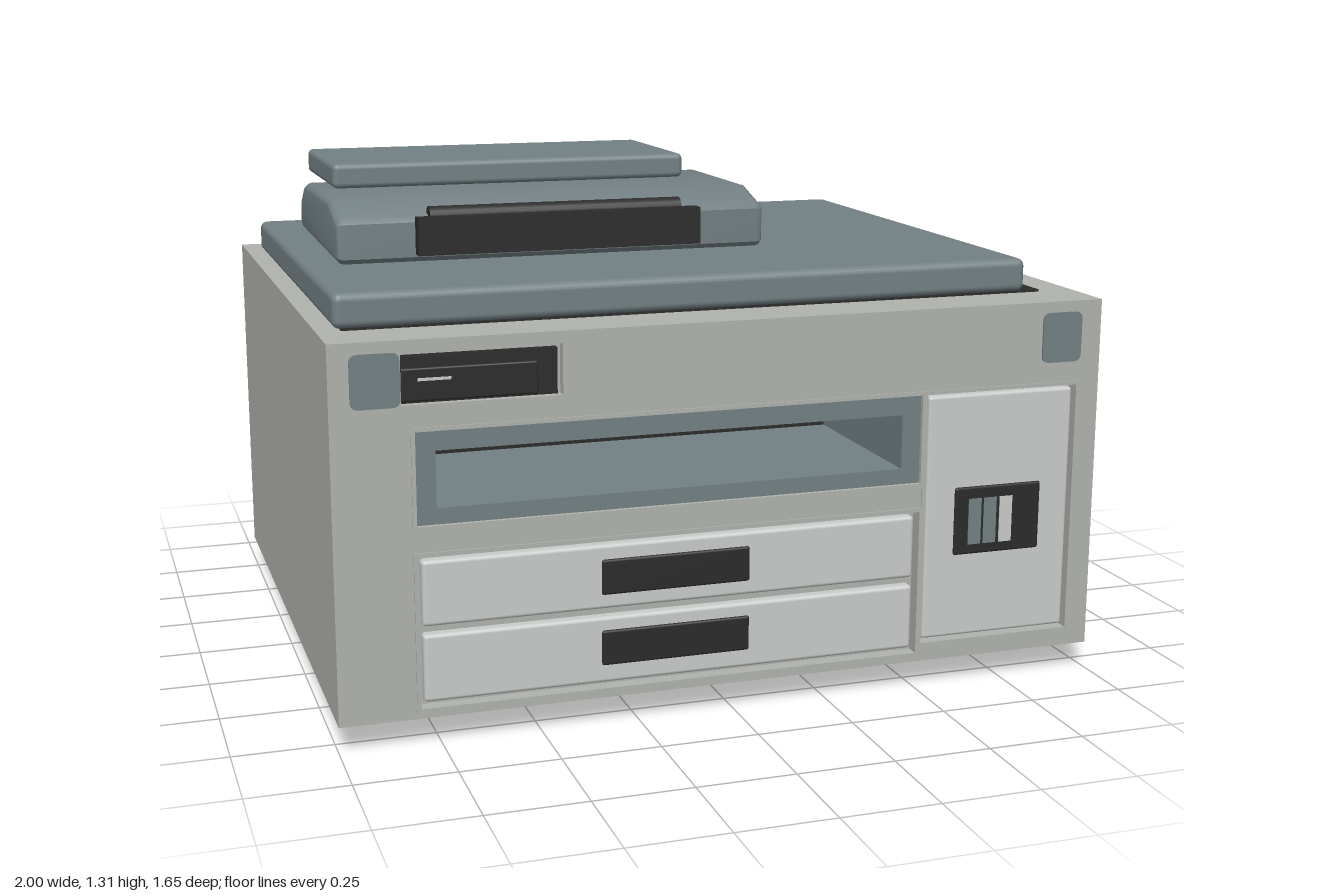
import * as THREE from 'three';
import { toCreasedNormals } from 'three/addons/utils/BufferGeometryUtils.js';
import { RoundedBoxGeometry } from 'three/addons/geometries/RoundedBoxGeometry.js';

const material = (name, color) => {
  const m = new THREE.MeshStandardMaterial({ color });
  m.name = name;
  return m;
};

export function createModel() {
  const casing = material('warm grey casing', 0xb0b2ad);
  const slate = material('slate plastic', 0x738084);
  const light = material('light grey panel', 0xc9cbcb);
  const dark = material('near black plastic', 0x2b2b2c);

  const model = new THREE.Group();
  model.name = 'multifunctionPrinter';

  const add = (name, geometry, mat) => {
    const mesh = new THREE.Mesh(geometry, mat);
    mesh.name = name;
    model.add(mesh);
    return mesh;
  };

  // Boxes given by their limits; a radius rounds the edges
  const box = (name, mat, [x0, x1], [y0, y1], [z0, z1], radius = 0) => {
    const size = [x1 - x0, y1 - y0, z1 - z0];
    const geometry = radius
      ? new RoundedBoxGeometry(...size, 3, radius)
      : new THREE.BoxGeometry(...size);
    geometry.translate((x0 + x1) / 2, (y0 + y1) / 2, (z0 + z1) / 2);
    return add(name, geometry, mat);
  };

  // Rectangle outline with optional rounded corners
  const outline = (path, [x0, x1, y0, y1], r = 0) => {
    if (!r) {
      path.moveTo(x0, y0).lineTo(x1, y0).lineTo(x1, y1).lineTo(x0, y1).closePath();
      return path;
    }
    path.moveTo(x0 + r, y0);
    path.lineTo(x1 - r, y0).quadraticCurveTo(x1, y0, x1, y0 + r);
    path.lineTo(x1, y1 - r).quadraticCurveTo(x1, y1, x1 - r, y1);
    path.lineTo(x0 + r, y1).quadraticCurveTo(x0, y1, x0, y1 - r);
    path.lineTo(x0, y0 + r).quadraticCurveTo(x0, y0, x0 + r, y0);
    return path;
  };

  // Upright slab with rectangular holes, running from z0 to z1
  const slab = (name, mat, rect, holes, z0, z1, r = 0) => {
    const shape = outline(new THREE.Shape(), rect, r);
    holes.forEach((h) => shape.holes.push(outline(new THREE.Path(), h, r * 0.6)));
    const geometry = new THREE.ExtrudeGeometry(shape, { depth: z1 - z0, bevelEnabled: false, curveSegments: 4 });
    geometry.translate(0, 0, z0);
    return add(name, geometry, mat);
  };

  // Casing: layered from back to front around its recesses
  const bodyRect = [-1, 1, 0.07, 1];
  const trayBay = [-0.8, 0.5, 0.55, 0.78];
  const drawerBay = [-0.8, 0.5, 0.095, 0.475];
  const doorBay = [0.515, 0.935, 0.12, 0.78];
  const controlBay = [-0.83, -0.44, 0.845, 0.97];
  const rearBay = [-0.67, 0.68, 0.25, 0.68];
  slab('casingBack', casing, bodyRect, [rearBay], -0.825, -0.81);
  box('casingCore', casing, [-1, 1], [0.07, 1], [-0.81, 0.3]);
  slab('casingMiddle', casing, bodyRect, [trayBay], 0.3, 0.79);
  slab('casingFront', casing, bodyRect, [trayBay, drawerBay, doorBay, controlBay], 0.79, 0.822);

  // Raised bezels around the front bays
  [trayBay, drawerBay, doorBay].forEach((b) => {
    const outer = [b[0] - 0.01, b[1] + 0.01, b[2] - 0.01, b[3] + 0.01];
    slab('bayBezel', casing, outer, [b], 0.815, 0.826);
  });

  // Output tray cavity
  slab('outputTrayLining', slate, trayBay, [[-0.75, 0.45, 0.59, 0.73]], 0.3, 0.815);
  box('outputTrayBack', dark, [-0.75, 0.45], [0.59, 0.73], [0.3, 0.31]);
  box('outputSlot', dark, [-0.58, 0.28], [0.68, 0.73], [0.31, 0.38], 0.012);

  // Paper drawers with handles
  [[0.107, 0.277, 0.198], [0.298, 0.462, 0.38]].forEach(([y0, y1, handleY]) => {
    box('paperDrawer', light, [-0.79, 0.49], [y0, y1], [0.76, 0.818], 0.01);
    box('drawerHandle', dark, [-0.345, 0.04], [handleY - 0.045, handleY + 0.045], [0.81, 0.824], 0.006);
  });

  // Side door with coin unit
  box('sideDoor', light, [0.522, 0.928], [0.128, 0.772], [0.77, 0.818], 0.008);
  box('coinUnit', dark, [0.602, 0.845], [0.348, 0.528], [0.81, 0.824], 0.006);
  [[0.64, slate], [0.683, slate], [0.728, light]].forEach(([x, mat]) =>
    box('coinSlot', mat, [x, x + 0.036], [0.375, 0.497], [0.82, 0.826]));

  // Control panel and corner plates
  box('controlPanelRecess', casing, [-0.83, -0.44], [0.845, 0.97], [0.785, 0.795]);
  box('controlPanel', dark, [-0.83, -0.452], [0.848, 0.96], [0.79, 0.816]);
  box('controlScreen', dark, [-0.83, -0.5], [0.852, 0.932], [0.81, 0.822], 0.005);
  box('controlLine', light, [-0.79, -0.71], [0.901, 0.908], [0.82, 0.824]);
  slab('leftCornerPlate', slate, [0.833, 0.943, 0.842, 0.972], [], 0.821, 0.827, 0.02);
  slab('rightCornerPlate', slate, [-0.95, -0.832, 0.842, 0.972], [], 0.821, 0.827, 0.02);

  // Rear connector plate
  box('rearPlate', slate, [-0.67, 0.68], [0.25, 0.68], [-0.816, -0.808]);
  for (let i = 0; i < 7; i++) {
    const x = 0.27 - i * 0.113;
    box('rearVent', dark, [x - 0.033, x + 0.033], [0.555, 0.588], [-0.821, -0.814]);
  }
  box('powerSocket', dark, [0.375, 0.505], [0.255, 0.325], [-0.823, -0.814]);
  box('dataSocket', dark, [0.195, 0.285], [0.29, 0.35], [-0.823, -0.814]);
  for (const x of [-0.59, 0.6]) for (const y of [0.3, 0.63]) {
    const screw = add('rearScrew', new THREE.CylinderGeometry(0.017, 0.017, 0.008, 16), casing);
    screw.rotation.x = Math.PI / 2;
    screw.position.set(x, y, -0.817);
  }

  // Scanner bed and lid
  box('scannerBed', dark, [-0.94, 0.9], [1, 1.006], [-0.68, 0.67]);
  box('scannerLid', slate, [-0.96, 0.858], [1.003, 1.09], [-0.68, 0.675], 0.02);

  // Document feeder: side profile swept across the width
  const profile = [
    [0.25, 1.092], [0.265, 1.105], [0.265, 1.195], [0.25, 1.21], [0.13, 1.245],
    [-0.27, 1.245], [-0.31, 1.233], [-0.365, 1.195], [-0.376, 1.175], [-0.376, 1.12], [-0.36, 1.106],
  ];
  const feederShape = new THREE.Shape(profile.map(([z, y]) => new THREE.Vector2(z, y)));
  const feeder = new THREE.ExtrudeGeometry(feederShape, {
    depth: 1.12, bevelThickness: 0.02, bevelSize: 0.018, bevelOffset: -0.018, bevelSegments: 3,
  });
  feeder.rotateY(-Math.PI / 2);
  feeder.translate(0.26, 0, 0);
  add('documentFeeder', toCreasedNormals(feeder, 0.6), slate);
  box('feederMount', slate, [-0.8, 0.2], [1.08, 1.12], [-0.25, 0.2]);

  // Feeder front flap on its hinge
  box('feederFlap', dark, [-0.68, 0.08], [1.115, 1.212], [0.28, 0.32]);
  const hinge = add('flapHinge', new THREE.CylinderGeometry(0.027, 0.027, 0.68, 20), dark);
  hinge.rotation.z = Math.PI / 2;
  hinge.position.set(-0.3, 1.207, 0.253);
  box('flapArm', dark, [-0.64, 0.04], [1.19, 1.21], [0.25, 0.29]);

  // Input tray above the feeder
  box('inputTraySupport', slate, [-0.78, 0.12], [1.227, 1.26], [-0.46, -0.2]);
  box('inputTray', slate, [-0.83, 0.168], [1.246, 1.313], [-0.545, -0.085], 0.015);

  // Feet
  for (const x of [-0.76, 0.76]) for (const z of [-0.56, 0.56]) {
    add('foot', new THREE.CylinderGeometry(0.052, 0.052, 0.062, 24), dark).position.set(x, 0.031, z);
    add('footStem', new THREE.CylinderGeometry(0.036, 0.036, 0.02, 20), dark).position.set(x, 0.068, z);
  }

  return model;
}
